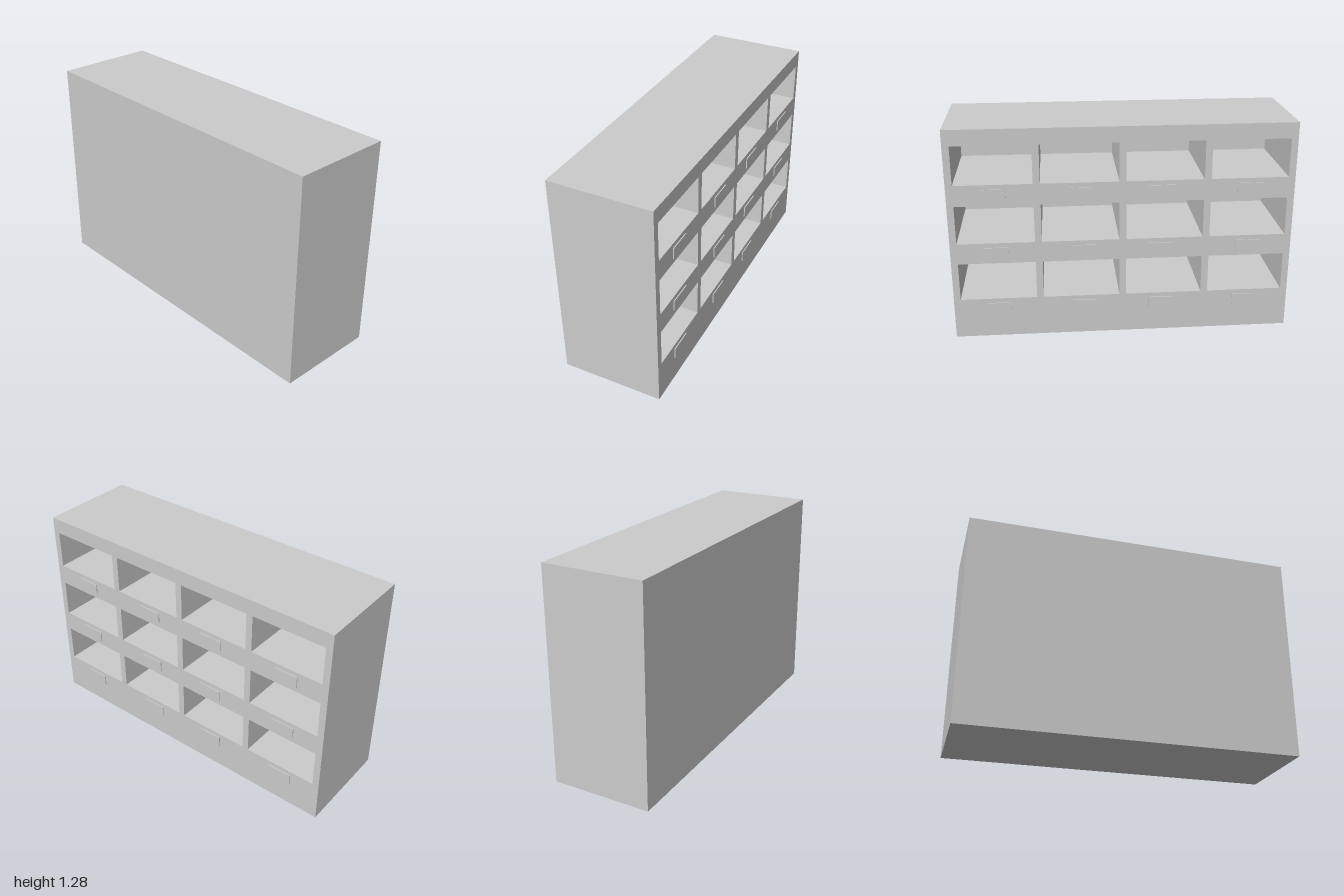
import * as THREE from 'three';

const WIDTH = 2, HEIGHT = 1.28;
const REAR = -0.3, FRONT = 0.306, PANEL = 0.04;
const OPEN_W = 0.45, OPEN_H = 0.23, WALL = 0.04;
const ROW_PITCH = 0.356, FIRST_ROW = 0.245;

// Rectangle path from its lower corner
function rect(path, x, y, w, h) {
  path.moveTo(x, y);
  path.lineTo(x + w, y);
  path.lineTo(x + w, y + h);
  path.lineTo(x, y + h);
  path.closePath();
  return path;
}

export function createModel() {
  const group = new THREE.Group();
  group.name = 'pigeonholeCabinet';
  const material = new THREE.MeshStandardMaterial({ color: 0xcccccc, flatShading: true });

  const add = (name, geometry, x, y, z) => {
    const mesh = new THREE.Mesh(geometry, material);
    mesh.name = name;
    mesh.position.set(x, y, z);
    group.add(mesh);
  };

  // Carcass: a block pierced by a 4 x 3 grid of compartments
  const outline = rect(new THREE.Shape(), -WIDTH / 2, 0, WIDTH, HEIGHT);
  for (let row = 0; row < 3; row++) {
    for (let col = 0; col < 4; col++) {
      const x = -WIDTH / 2 + WALL + col * (OPEN_W + WALL);
      const y = FIRST_ROW + row * ROW_PITCH;
      outline.holes.push(rect(new THREE.Path(), x, y, OPEN_W, OPEN_H));
    }
  }
  const depth = FRONT - PANEL - REAR;
  add('carcass', new THREE.ExtrudeGeometry(outline, { depth, bevelEnabled: false }), 0, 0, REAR);

  // Solid panel closing the compartments
  add('closingPanel', new THREE.BoxGeometry(WIDTH, HEIGHT, PANEL), 0, HEIGHT / 2, FRONT - PANEL / 2);

  // Label plate below each compartment
  const plate = new THREE.BoxGeometry(0.146, 0.067, 0.012);
  for (let row = 0; row < 3; row++) {
    for (const x of [-0.737, -0.227, 0.227, 0.737]) {
      add('labelPlate', plate, x, 0.184 + row * ROW_PITCH, REAR);
    }
  }

  return group;
}
